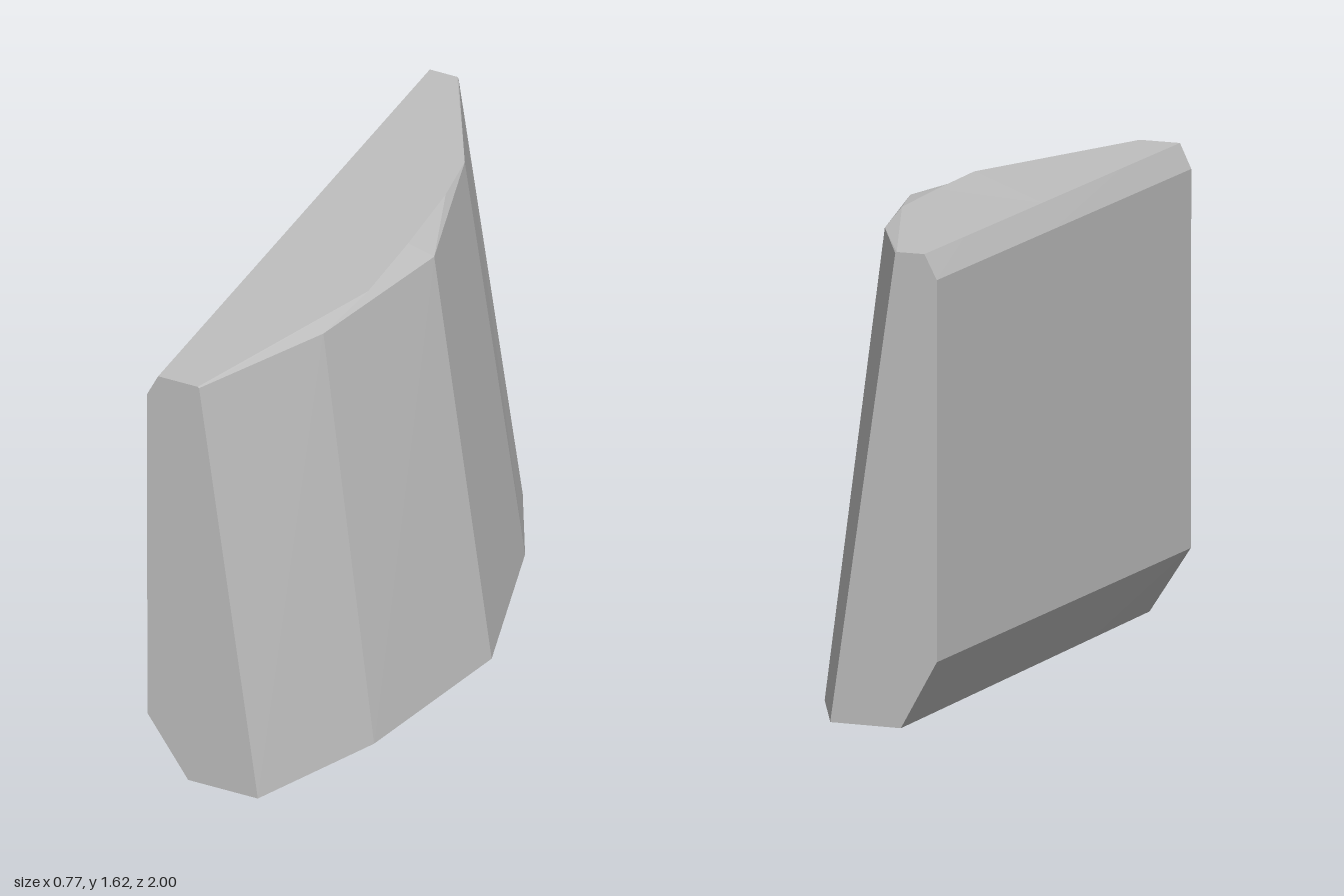
import * as THREE from 'three';

// Stations along the wedge, front to back:
// outer bottom [x, y, z], outer top [x, y, z], top ridge [x, y, z]
const STATIONS = [
  [[0.02, 0.01, 1], [-0.195, 1.61, 1], [-0.2, 1.614, 1]],
  [[0.235, 0.004, 0.54], [0.045, 1.604, 0.53], [0.09, 1.625, 0.27]],
  [[0.382, 0, -0.08], [0.19, 1.598, -0.04], [0.095, 1.625, -0.04]],
  [[0.23, 0, -0.68], [0.055, 1.602, -0.58], [0.09, 1.625, -0.35]],
  [[0.075, 0, -1], [-0.16, 1.615, -1], [-0.165, 1.619, -1]],
];

// Straight edges of the flat side: front end [x, y] and back end [x, y]
const FLAT_SIDE = {
  topEdge: [[-0.345, 1.615], [-0.265, 1.62]],
  highBevel: [[-0.386, 1.53], [-0.31, 1.535]],
  lowBevel: [[-0.384, 0.24], [-0.31, 0.235]],
  bottomEdge: [[-0.235, 0.012], [-0.18, 0]],
};

function edgePoint([front, back], z) {
  const t = (1 - z) / 2;
  return [
    THREE.MathUtils.lerp(front[0], back[0], t),
    THREE.MathUtils.lerp(front[1], back[1], t),
    z,
  ];
}

// Closed cross-section, counter-clockwise seen from the front
function section([bottom, top, ridge]) {
  const z = bottom[2];
  return [
    edgePoint(FLAT_SIDE.bottomEdge, z), bottom, top, ridge,
    edgePoint(FLAT_SIDE.topEdge, z),
    edgePoint(FLAT_SIDE.highBevel, z),
    edgePoint(FLAT_SIDE.lowBevel, z),
  ];
}

function loft(sections) {
  const positions = [];
  const triangle = (...points) => points.forEach((p) => positions.push(...p));
  const n = sections[0].length;

  // Skin between neighbouring sections
  for (let i = 0; i < sections.length - 1; i++) {
    for (let j = 0; j < n; j++) {
      const k = (j + 1) % n;
      const a = sections[i][j], b = sections[i][k];
      const c = sections[i + 1][j], d = sections[i + 1][k];
      triangle(a, c, d);
      triangle(a, d, b);
    }
  }

  // End caps
  const first = sections[0], last = sections[sections.length - 1];
  for (let j = 1; j < n - 1; j++) {
    triangle(first[0], first[j], first[j + 1]);
    triangle(last[0], last[j + 1], last[j]);
  }

  const geometry = new THREE.BufferGeometry();
  geometry.setAttribute('position', new THREE.Float32BufferAttribute(positions, 3));
  geometry.computeVertexNormals();
  return geometry;
}

export function createModel() {
  const stone = new THREE.MeshStandardMaterial({ color: 0xbfbfbf });
  stone.name = 'stone grey';
  stone.flatShading = true;

  const group = new THREE.Group();
  group.name = 'facetedBlock';
  const body = new THREE.Mesh(loft(STATIONS.map(section)), stone);
  body.name = 'blockBody';
  group.add(body);
  return group;
}
